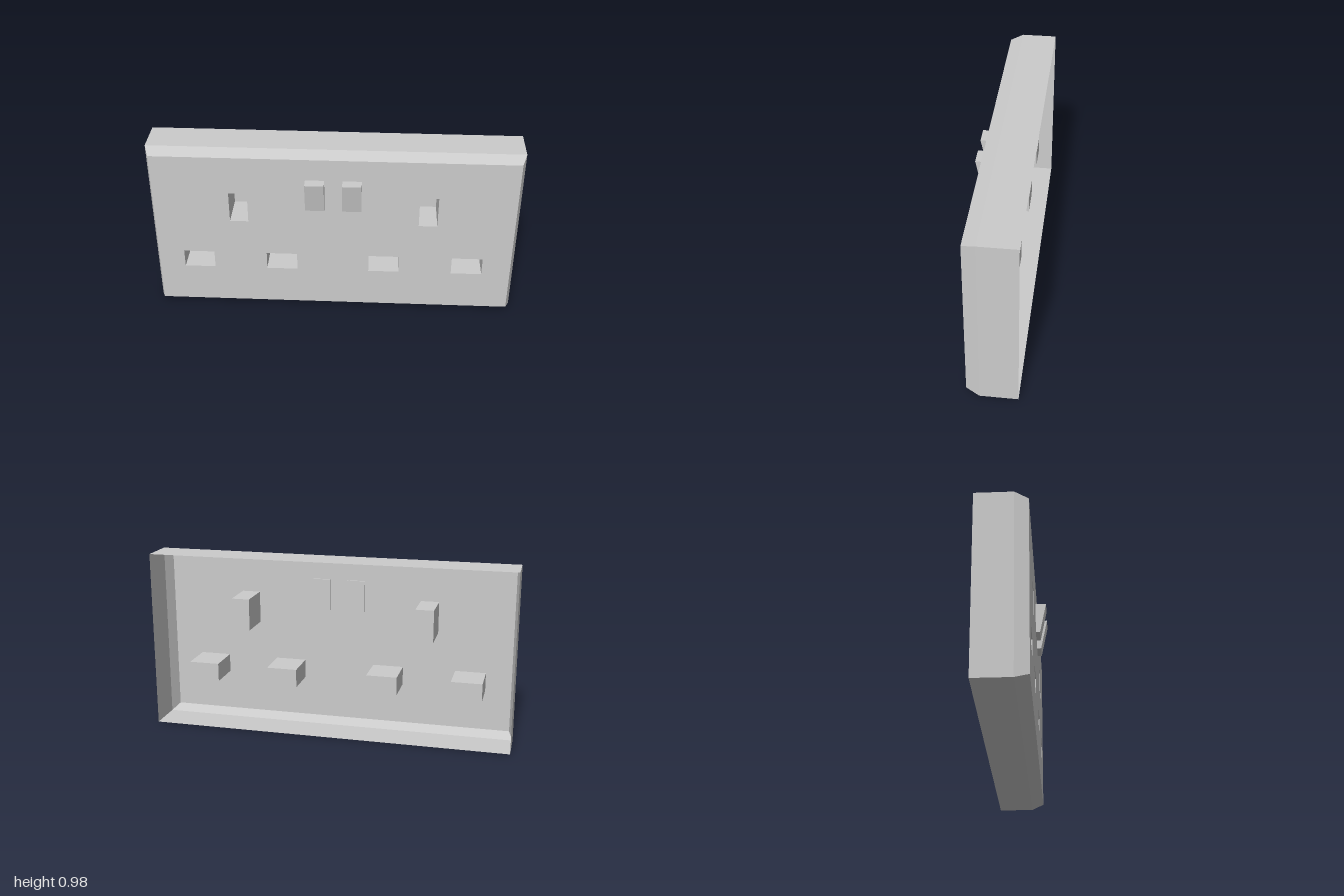
import * as THREE from 'three';

const W = 2, H = 0.98, BACK = -0.163, BEVEL_Z = 0.035, FRONT = 0.105, INSET = 0.025;
const POCKET_DEPTH = 0.195;

// Openings: centre x, centre y, width, height
const openings = [
  [-0.514, 0.65, 0.1, 0.176], [0.508, 0.65, 0.1, 0.176],
  ...[-0.749, -0.288, 0.277, 0.735].map((x) => [x, 0.302, 0.169, 0.102]),
];

const material = new THREE.MeshStandardMaterial({ color: 0xcccccc, flatShading: true, side: THREE.DoubleSide });

function part(name, geometry) {
  const mesh = new THREE.Mesh(geometry, material);
  mesh.name = name;
  return mesh;
}

// Four corners, counter-clockwise seen from the front
function ring(inset, z) {
  const x = W / 2 - inset, b = inset, t = H - inset;
  return [[-x, b, z], [x, b, z], [x, t, z], [-x, t, z]];
}

// Side walls and bevel: a thin sleeve, open at the back
function sleeve() {
  const rings = [ring(0, BACK), ring(0, BEVEL_Z), ring(INSET, FRONT)];
  const pos = [];
  for (let r = 0; r < 2; r++) {
    for (let i = 0; i < 4; i++) {
      const j = (i + 1) % 4;
      const a = rings[r][i], b = rings[r][j], c = rings[r + 1][j], d = rings[r + 1][i];
      pos.push(...a, ...b, ...c, ...a, ...c, ...d);
    }
  }
  const g = new THREE.BufferGeometry();
  g.setAttribute('position', new THREE.Float32BufferAttribute(pos, 3));
  g.computeVertexNormals();
  return g;
}

// Flat front with rectangular holes
function facePlate() {
  const shape = new THREE.Shape(ring(INSET, 0).map(([x, y]) => new THREE.Vector2(x, y)));
  for (const [x, y, w, h] of openings) {
    shape.holes.push(new THREE.Path([[-1, -1], [-1, 1], [1, 1], [1, -1]].map(
      ([sx, sy]) => new THREE.Vector2(x + sx * w / 2, y + sy * h / 2))));
  }
  return new THREE.ShapeGeometry(shape).translate(0, 0, FRONT);
}

// Box without its front side
function pocket(x, y, w, h) {
  const g = new THREE.BoxGeometry(w, h, POCKET_DEPTH);
  const index = Array.from(g.index.array);
  index.splice(24, 6);
  g.setIndex(index);
  g.clearGroups();
  return g.translate(x, y, FRONT - POCKET_DEPTH / 2);
}

// Wedge-shaped rocker, thicker at the top, reaching just through the plate
function rocker(x) {
  const back = FRONT - 0.01, w = 0.102;
  const profile = new THREE.Shape([[back, 0.657], [0.128, 0.657], [0.163, 0.832], [back, 0.832]]
    .map(([z, y]) => new THREE.Vector2(z, y)));
  const g = new THREE.ExtrudeGeometry(profile, { depth: w, bevelEnabled: false });
  return g.rotateY(-Math.PI / 2).translate(x + w / 2, 0, 0);
}

export function createModel() {
  const model = new THREE.Group();
  model.name = 'doubleWallSocket';
  model.add(part('sideWalls', sleeve()), part('facePlate', facePlate()));
  openings.forEach((o, i) => model.add(part(i < 2 ? 'earthPinPocket' : 'pinPocket', pocket(...o))));
  for (const x of [-0.101, 0.097]) model.add(part('rockerSwitch', rocker(x)));
  return model;
}
